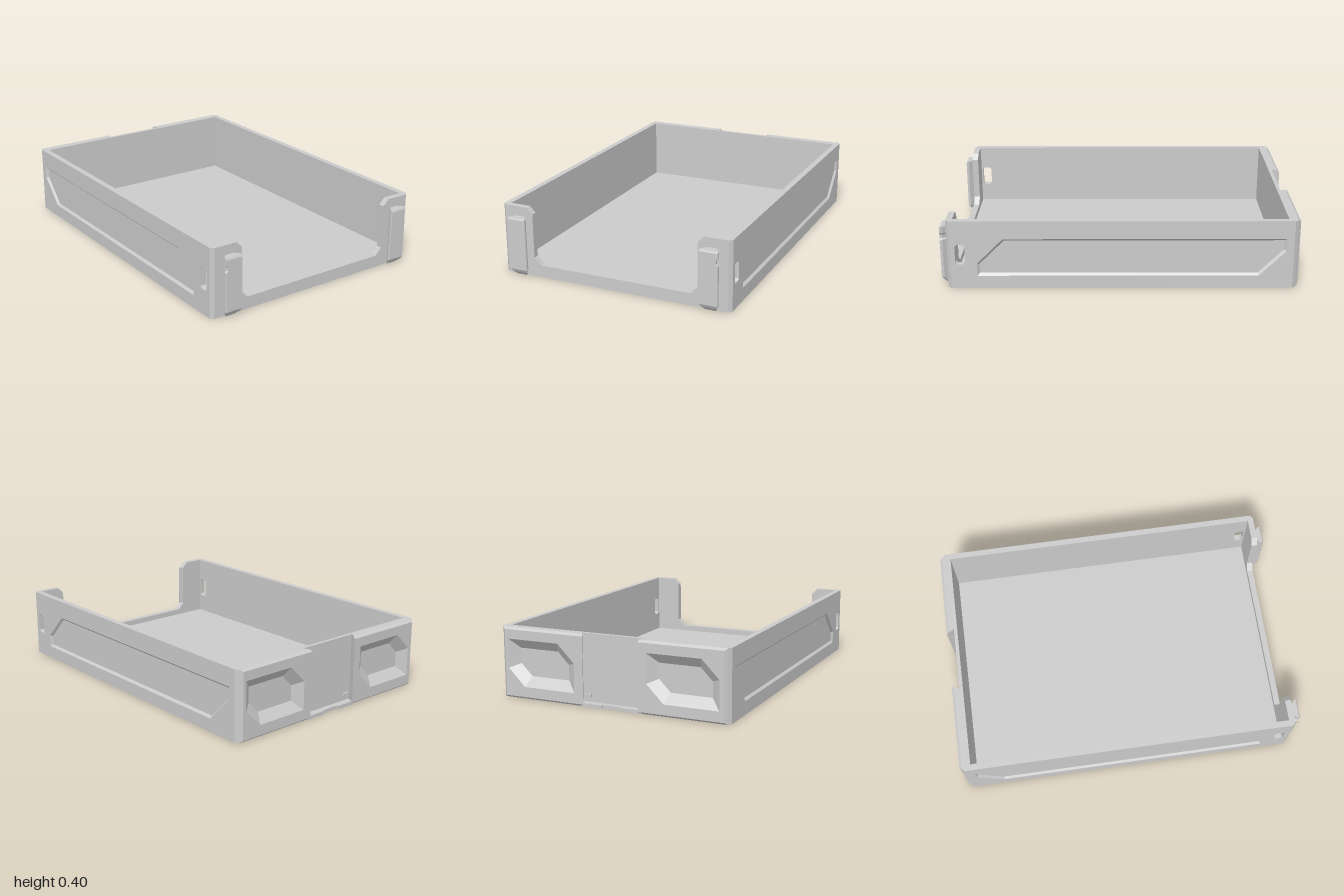
import * as THREE from 'three';
import { mergeGeometries } from 'three/addons/utils/BufferGeometryUtils.js';

const material = new THREE.MeshStandardMaterial({ color: 0xcccccc, flatShading: true, side: THREE.DoubleSide });

// Axis mappings from panel space (u, v, depth w) to model space
const alongZ = (u, v, w) => [u, v, w];
const alongX = (u, v, w) => [w, v, u];

const rect = (u0, u1, v0, v1) => [[u0, v0], [u1, v0], [u1, v1], [u0, v1]];

// Rectangle with two opposite corners cut at (u0,v0) and (u1,v1), inset by d
function cutRect(u0, u1, v0, v1, c, d = 0) {
  const s = Math.sign(u1 - u0), k = c - 0.59 * d;
  u0 += s * d; u1 -= s * d; v0 += d; v1 -= d;
  return [[u0 + s * k, v0], [u1, v0], [u1, v1 - k], [u1 - s * k, v1], [u0, v1], [u0, v0 + k]];
}

// Rectangle with all four corners trimmed
function trimRect(u0, u1, v0, v1, c) {
  return [[u0 + c, v0], [u1 - c, v0], [u1, v0 + c], [u1, v1 - c],
    [u1 - c, v1], [u0 + c, v1], [u0, v1 - c], [u0, v0 + c]];
}

function toGeometry(positions) {
  const g = new THREE.BufferGeometry();
  g.setAttribute('position', new THREE.Float32BufferAttribute(positions, 3));
  g.computeVertexNormals();
  return g;
}

// Side faces between successive stations { loop, w }
function loft(stations, map) {
  const out = [];
  for (let i = 0; i < stations.length - 1; i++) {
    const a = stations[i], b = stations[i + 1], n = a.loop.length;
    for (let j = 0; j < n; j++) {
      const k = (j + 1) % n;
      const p = map(...a.loop[j], a.w), q = map(...a.loop[k], a.w);
      const r = map(...b.loop[k], b.w), t = map(...b.loop[j], b.w);
      out.push(...p, ...q, ...r, ...p, ...r, ...t);
    }
  }
  return toGeometry(out);
}

// Flat face with optional holes
function cap(loop, holes, w, map) {
  const vec = (l) => l.map((p) => new THREE.Vector2(...p));
  const shape = new THREE.Shape(vec(loop));
  holes.forEach((h) => shape.holes.push(new THREE.Path(vec(h))));
  const g = new THREE.ShapeGeometry(shape).toNonIndexed();
  const pos = g.attributes.position, out = [];
  for (let i = 0; i < pos.count; i++) out.push(...map(pos.getX(i), pos.getY(i), w));
  return toGeometry(out);
}

// Lofted block: through holes pierce both caps, pockets sink into the last cap
function block(stations, map, through = [], pockets = []) {
  const first = stations[0], last = stations[stations.length - 1];
  const parts = [
    loft(stations, map),
    cap(first.loop, through, first.w, map),
    cap(last.loop, [...through, ...pockets.map((p) => p.rim)], last.w, map),
  ];
  through.forEach((h) => parts.push(loft([{ loop: h, w: first.w }, { loop: h, w: last.w }], map)));
  pockets.forEach((p) => parts.push(
    loft([{ loop: p.rim, w: last.w }, { loop: p.base, w: p.w }], map),
    cap(p.base, [], p.w, map)));
  return mergeGeometries(parts);
}

export function createModel() {
  const model = new THREE.Group();
  model.name = 'tray';
  const add = (name, geometry) => {
    const mesh = new THREE.Mesh(geometry, material);
    mesh.name = name;
    model.add(mesh);
    return mesh;
  };
  const box = (name, x0, x1, y0, y1, z0, z1) => add(name,
    new THREE.BoxGeometry(x1 - x0, y1 - y0, z1 - z0)
      .translate((x0 + x1) / 2, (y0 + y1) / 2, (z0 + z1) / 2));

  const H = 0.4;
  box('floor', -0.65, 0.65, 0, 0.035, -0.935, 0.92);
  box('backWall', -0.65, 0.65, 0, H, -0.955, -0.935);

  // Front wall with the wide access cutout
  const half = [[0.455, 0.07], [0.495, 0.11], [0.495, 0.365], [0.53, H], [0.65, H], [0.65, 0]];
  const outline = [...half, ...half.map(([x, y]) => [-x, y]).reverse()];
  add('frontWall', block([{ loop: outline, w: 0.92 }, { loop: outline, w: 0.955 }], alongZ));

  for (const s of [1, -1]) {
    const side = s > 0 ? 'left' : 'right';

    // Side wall: slot near the front, shallow bevelled panel recess
    const wall = block([
      { loop: rect(-0.955, 0.955, 0, H), w: 0.65 },
      { loop: rect(-0.955, 0.955, 0, H), w: 0.667 },
      { loop: rect(-0.955, 0.937, 0, H), w: 0.685 },
    ], alongX, [trimRect(0.855, 0.91, 0.145, 0.26, 0.01)], [{
      rim: cutRect(-0.925, 0.79, 0.075, 0.295, 0.147),
      base: cutRect(-0.925, 0.79, 0.075, 0.295, 0.147, 0.013),
      w: 0.672,
    }]);
    add(side + 'Wall', wall).scale.x = s;

    // Back block: chamfered edges, undercut channel edge, tapered pocket
    const strip = (x0, x1, e, w) => ({ loop: rect(s * x0, s * x1, e, H - e), w });
    const [u0, u1] = s > 0 ? [0.635, 0.22] : [-0.215, -0.63];
    add(side + 'BackBlock', block([
      strip(0.19, 0.685, 0, -0.955),
      strip(0.182, 0.685, 0, -0.967),
      strip(0.173, 0.67, 0, -0.985),
      strip(0.165, 0.655, 0.012, -1),
    ], alongZ, [], [{
      rim: cutRect(u0, u1, 0.07, 0.335, 0.1),
      base: cutRect(u0, u1, 0.07, 0.335, 0.1, 0.055),
      w: -0.957,
    }]));

    // Channel stop at the bottom and small catch
    box(side + 'ChannelStop', s > 0 ? 0.055 : -0.18, s > 0 ? 0.18 : -0.055, 0, 0.02, -0.995, -0.955);
    box(side + 'ChannelCatch', s * 0.155 - 0.02, s * 0.155 + 0.02, 0.05, 0.065, -0.966, -0.955);

    // Dovetail clip with an outer notch and chamfered foot
    const clipStation = (hw, foot, y0, y1, w) => ({
      w,
      loop: [[-foot, y0], [foot, y0], [hw, Math.max(0.04, y0)], [hw, 0.265], [hw - 0.011, 0.275],
        [hw - 0.011, 0.295], [hw, 0.305], [hw, y1], [-hw, y1], [-hw, Math.max(0.04, y0)]],
    });
    const clip = add(side + 'Clip', block([
      clipStation(0.03, 0.026, 0, 0.345, 0.955),
      clipStation(0.032, 0.03, 0, 0.345, 0.963),
      clipStation(0.053, 0.042, 0.02, 0.345, 0.985),
      clipStation(0.053, 0.053, 0.038, 0.345, 0.995),
      clipStation(0.05, 0.05, 0.041, 0.335, 1),
    ], alongZ));
    clip.scale.x = s;
    clip.position.x = s * 0.573;
  }
  box('channelStopCentre', -0.055, 0.055, 0, 0.02, -0.985, -0.955);
  return model;
}
